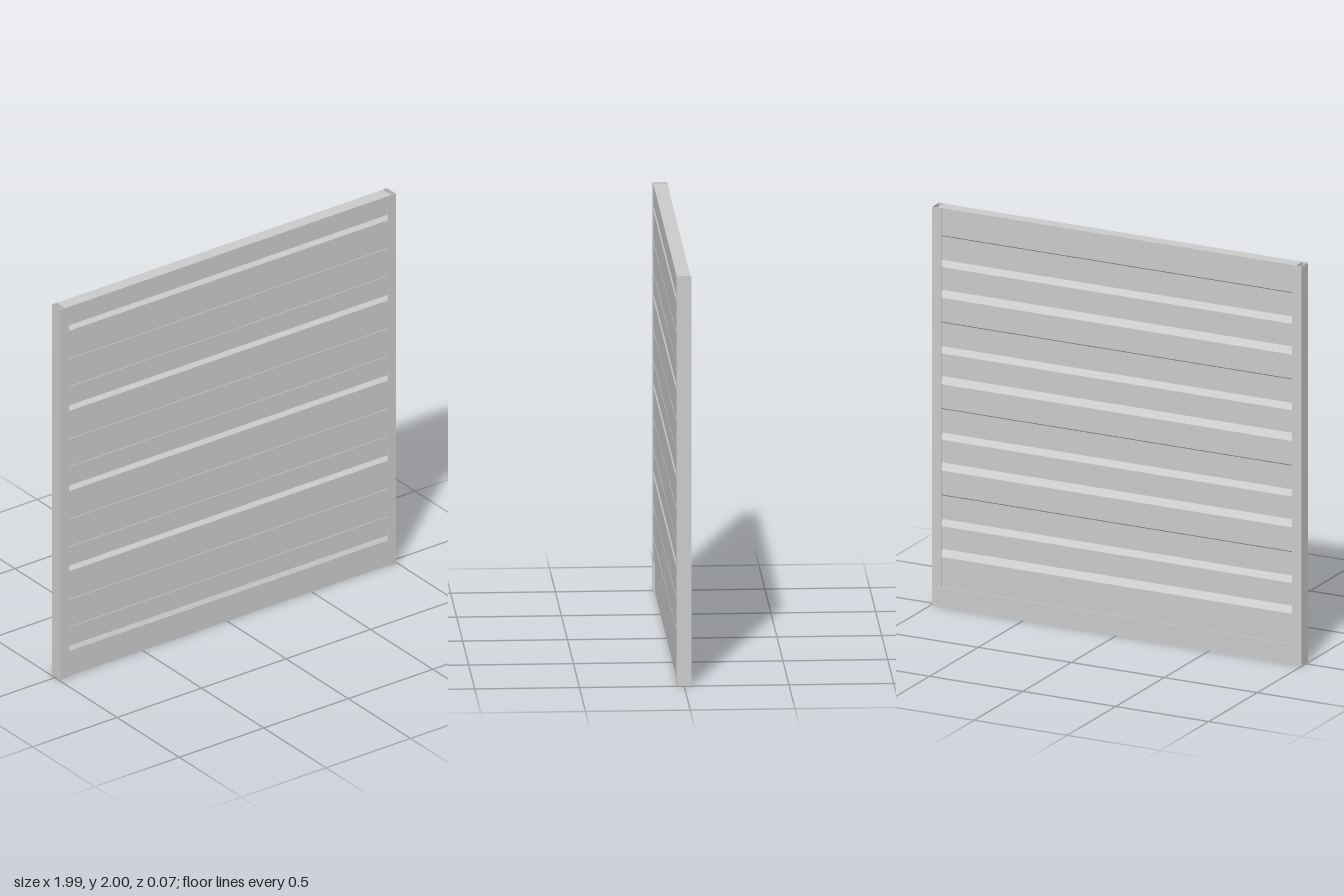
import * as THREE from 'three';

const FRONT = 0.035, BACK = -0.032, PITCH = 0.433, FIRST = 1.9;

export function createModel() {
  const group = new THREE.Group();
  const material = new THREE.MeshStandardMaterial({ color: 0xcccccc, flatShading: true, side: THREE.DoubleSide });

  function add(name, geometry, parent = group) {
    const mesh = new THREE.Mesh(geometry, material);
    mesh.name = name;
    parent.add(mesh);
  }
  function box(name, x0, x1, y0, y1, z0, z1, parent) {
    const g = new THREE.BoxGeometry(x1 - x0, y1 - y0, z1 - z0);
    g.translate((x0 + x1) / 2, (y0 + y1) / 2, (z0 + z1) / 2);
    add(name, g, parent);
  }

  // Cross-section (z, y) of the stacked boards: down the front, up the back
  const profile = [[BACK, 2], [FRONT, 2]];
  for (let k = 0; k < 5; k++) {
    const g = FIRST - k * PITCH;
    // chamfered shadow groove
    profile.push([FRONT, g], [FRONT - 0.025, g], [FRONT - 0.022, g - 0.006]);
    if (k === 4) break;
    profile.push([FRONT, g - 0.03]);
    // narrow seams between slats
    for (const s of [0.18, 0.33]) {
      const y = g - s;
      profile.push([FRONT, y + 0.003], [FRONT - 0.004, y + 0.003], [FRONT - 0.004, y - 0.003], [FRONT, y - 0.003]);
    }
  }
  // bottom board sits slightly behind the post flanges
  profile.push([FRONT - 0.008, 0.135], [FRONT - 0.008, 0], [BACK, 0]);
  // pairs of tapered pockets on the back, split by a wedge
  for (let k = 3; k >= 0; k--) {
    const g = FIRST - k * PITCH, wall = 0.026;
    profile.push(
      [BACK, g - 0.35], [wall, g - 0.33], [wall, g - 0.215],
      [BACK + 0.004, g - 0.197],
      [wall, g - 0.18], [wall, g - 0.062], [BACK, g - 0.037]
    );
  }
  const shape = new THREE.Shape(profile.map(([z, y]) => new THREE.Vector2(z, y)));
  const panel = new THREE.ExtrudeGeometry(shape, { depth: 1.93, bevelEnabled: false });
  panel.translate(0, 0, -0.965);
  panel.rotateY(-Math.PI / 2);
  add('slattedPanel', panel);

  // Thin bottom rail on the back
  box('bottomRail', -0.96, 0.96, 0, 0.1, -0.037, BACK);

  // Open-ended C-channel posts that hold the panel ends
  for (const side of [-1, 1]) {
    const post = new THREE.Group();
    post.name = side > 0 ? 'leftPost' : 'rightPost';
    const span = (a, b) => (side > 0 ? [a, b] : [-b, -a]);
    box('postWeb', ...span(0.989, 0.993), 0, 2, -0.034, 0.037, post);
    box('frontFlange', ...span(0.943, 0.993), 0, 2, 0.0345, 0.037, post);
    box('backFlange', ...span(0.943, 0.993), 0, 2, -0.034, -0.0315, post);
    group.add(post);
  }
  return group;
}
